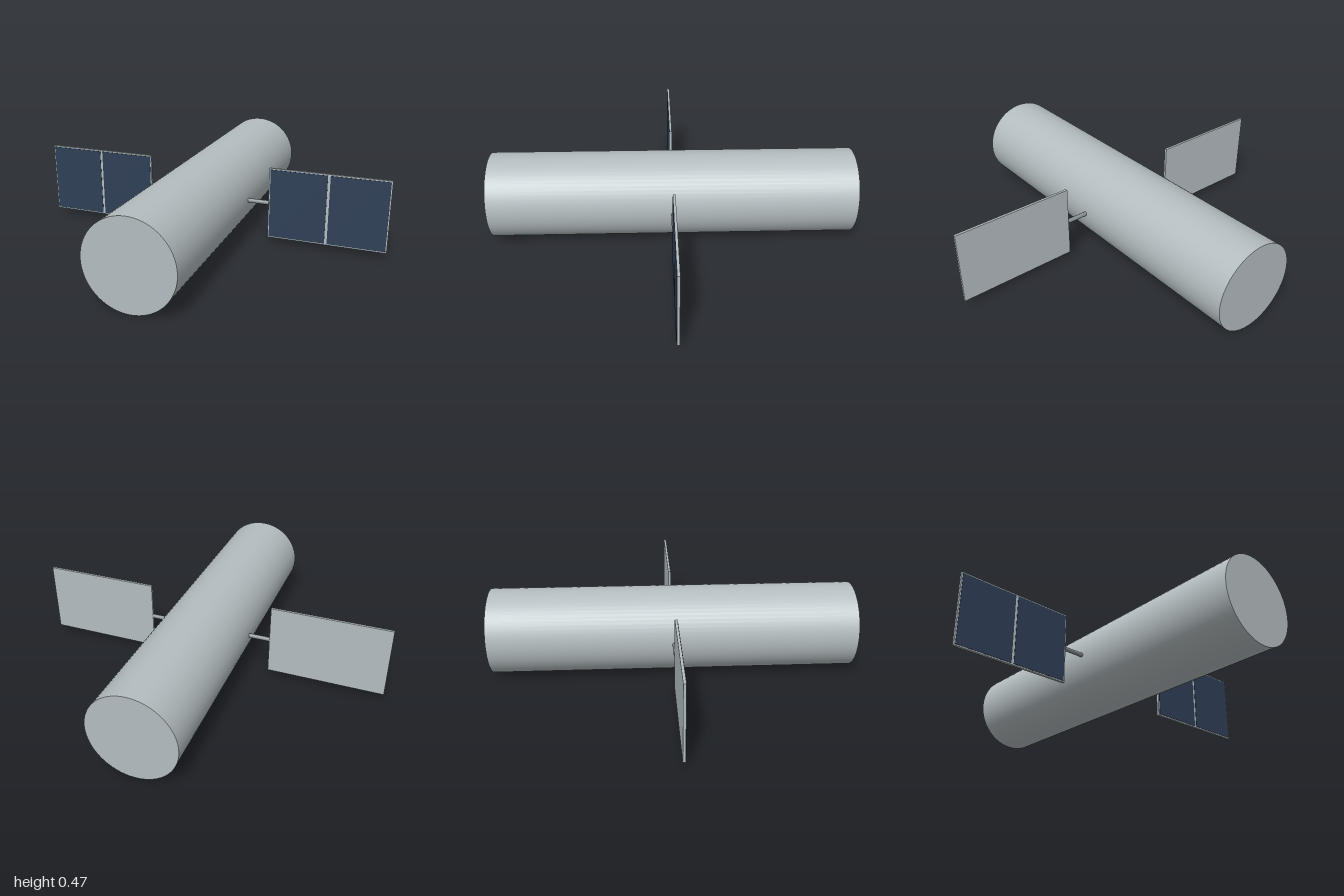
import * as THREE from 'three';

function material(name, color) {
  const m = new THREE.MeshStandardMaterial({ color });
  m.name = name;
  return m;
}

export function createModel() {
  const hull = material('hull grey', 0xb4bdc0);
  const metal = material('strut grey', 0x8a9093);
  const blue = material('solar cell blue', 0x2f3f56);

  const radius = 0.235;
  const panelWidth = 0.648, panelHeight = 0.4, panelDepth = 0.014;
  const panelX = 1 - panelWidth / 2;

  const model = new THREE.Group();
  model.name = 'satellite';

  const add = (parent, name, geometry, mat, x, y, z) => {
    const mesh = new THREE.Mesh(geometry, mat);
    mesh.name = name;
    mesh.position.set(x, y, z);
    parent.add(mesh);
    return mesh;
  };

  // Long cylindrical body lying along z
  add(model, 'body', new THREE.CylinderGeometry(radius, radius, 2, 64).rotateX(Math.PI / 2), hull, 0, radius, 0);

  // One strut and one solar panel on each side
  for (const side of [1, -1]) {
    const wing = new THREE.Group();
    wing.name = side > 0 ? 'leftWing' : 'rightWing';
    wing.position.y = radius;
    model.add(wing);

    const strutStart = 0.2, strutEnd = 0.354;
    add(wing, 'strut', new THREE.CylinderGeometry(0.012, 0.012, strutEnd - strutStart, 16).rotateZ(Math.PI / 2),
      metal, side * (strutStart + strutEnd) / 2, 0, 0);

    add(wing, 'panel', new THREE.BoxGeometry(panelWidth, panelHeight, panelDepth), hull, side * panelX, 0, 0);

    // Two thin cell plates on the front face
    for (const half of [-1, 1]) {
      add(wing, 'solarCells', new THREE.BoxGeometry(0.31, 0.386, 0.002), blue,
        side * panelX + half * 0.162, 0, panelDepth / 2 + 0.001);
    }
  }
  return model;
}
